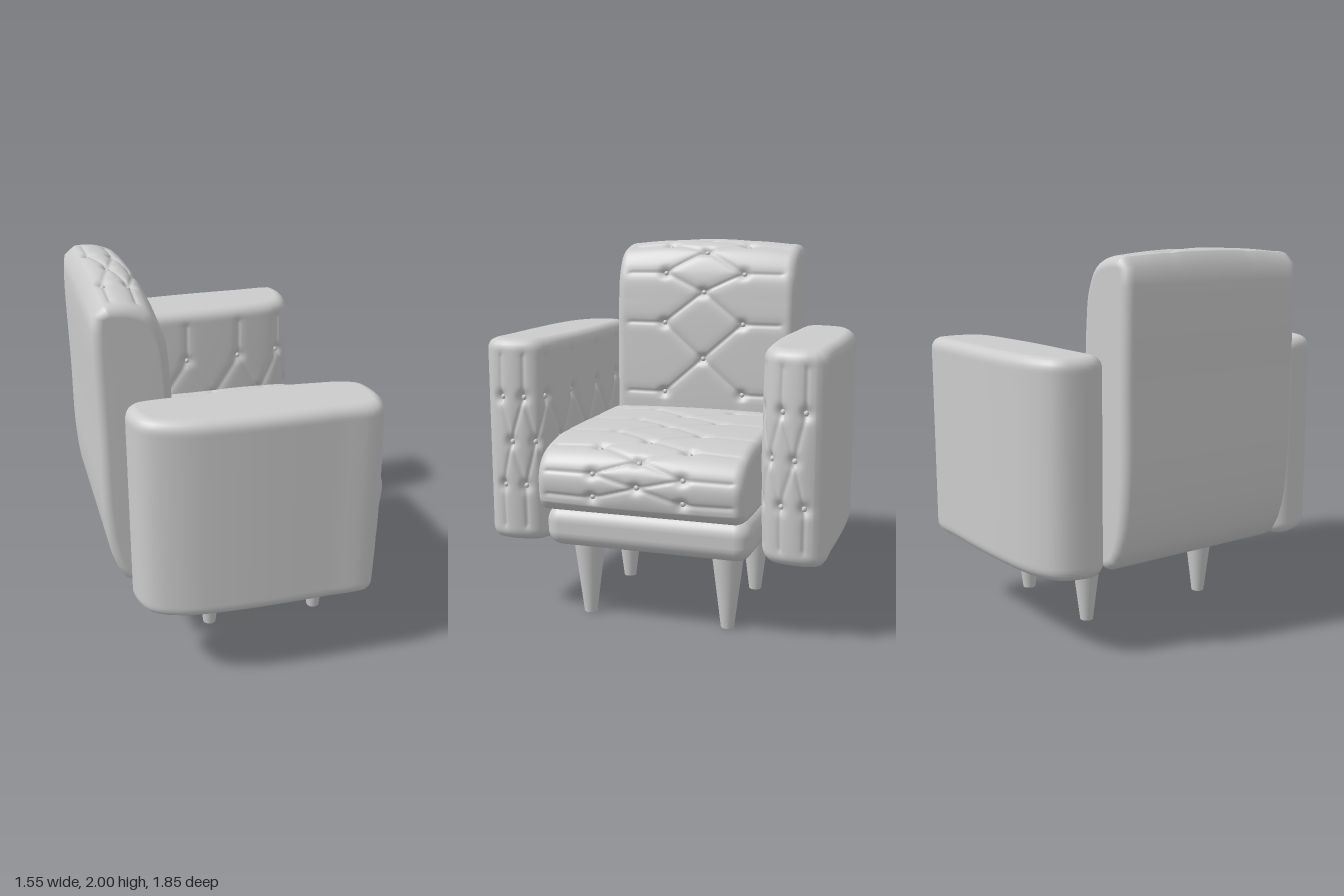
import * as THREE from 'three';
import { mergeGeometries } from 'three/addons/utils/BufferGeometryUtils.js';
import { RoundedBoxGeometry } from 'three/addons/geometries/RoundedBoxGeometry.js';

const material = new THREE.MeshStandardMaterial({ color: 0xcccccc, roughness: 0.8 });

// Distance from point (px, py) to the segment a-b
function segmentDistance(px, py, [ax, ay], [bx, by]) {
  const dx = bx - ax, dy = by - ay;
  const t = Math.min(1, Math.max(0, ((px - ax) * dx + (py - ay) * dy) / (dx * dx + dy * dy)));
  return Math.hypot(px - ax - t * dx, py - ay - t * dy);
}

// Tufted cushion: a closed profile swept along w, with rounded ends.
// tufts run along the profile, alternately at w = +-spread and at w = 0.
function cushion({ profile, tufts, half, radius, spread, reach, bulge, dir }) {
  const curve = new THREE.CatmullRomCurve3(
    profile.map(([u, v]) => new THREE.Vector3(u, v, 0)), true, 'centripetal');
  curve.arcLengthDivisions = 800;
  const length = curve.getLength();
  const area = profile.reduce((sum, [u, v], i) => {
    const [u2, v2] = profile[(i + 1) % profile.length];
    return sum + u * v2 - u2 * v;
  }, 0);
  const sign = Math.sign(area);

  // Place each tuft at its nearest arc position
  const scan = curve.getSpacedPoints(600);
  const arc = tufts.map(([u, v]) => {
    let best = 0, min = Infinity;
    scan.forEach((p, i) => {
      const d = Math.hypot(p.x - u, p.y - v);
      if (d < min) { min = d; best = i; }
    });
    return best / 600 * length;
  });

  // Buttons and the creases between them, in (arc, w) coordinates
  const buttons = [], creases = [];
  arc.forEach((s, k) => {
    const even = k % 2 === 0;
    for (const m of [-1, 1]) {
      if (even) {
        buttons.push([s, m * spread]);
        creases.push([[s, m * spread], [s, m * reach]]);
      } else if (m > 0) buttons.push([s, 0]);
      if (k + 1 < arc.length) {
        creases.push([[s, even ? m * spread : 0], [arc[k + 1], even ? 0 : m * spread]]);
      }
    }
  });
  const depth = (s, w) => {
    let crease = 0, dimple = 0;
    for (const [a, b] of creases) {
      const d = segmentDistance(s, w, a, b);
      crease = Math.max(crease, 0.005 * Math.exp(-((d / 0.03) ** 2)) + 0.007 * Math.exp(-((d / 0.009) ** 2)));
    }
    for (const [a, b] of buttons) {
      dimple = Math.max(dimple, 0.024 * Math.exp(-(((s - a) ** 2 + (w - b) ** 2) / 0.0009)));
    }
    return crease + dimple;
  };

  const place = (s, w, inset, extra = 0) => {
    const t = Math.min(0.99999, s / length);
    const p = curve.getPointAt(t), g = curve.getTangentAt(t);
    const nu = sign * g.y, nv = -sign * g.x;
    const crown = bulge * (w / half) ** 2 * Math.max(0, nu * dir[0] + nv * dir[1]);
    const off = extra - inset - crown - depth(s, w);
    return [p.x + nu * off, p.y + nv * off, w];
  };

  // Arc samples: dense over the tufted stretch, sparse elsewhere
  const start = arc[0] - 0.05, end = arc[arc.length - 1] + 0.05;
  const stops = [];
  const addRange = (a, b, n) => { for (let i = 0; i < n; i++) stops.push(a + (b - a) * i / n); };
  addRange(0, start, 20);
  addRange(start, end, 148);
  addRange(end, length, 22);

  // Rows across the width: quarter-round, middle, quarter-round
  const rows = [], M = 72, Q = 6;
  const rounding = Array.from({ length: Q }, (_, i) => {
    const a = i / Q * Math.PI / 2;
    return [half - radius + radius * Math.cos(a), radius * (1 - Math.sin(a))];
  });
  rounding.forEach(([w, inset]) => rows.push([-w, inset]));
  for (let j = 0; j <= M; j++) rows.push([(half - radius) * (2 * j / M - 1), 0]);
  rounding.reverse().forEach(([w, inset]) => rows.push([w, inset]));

  const pos = [], index = [], N = stops.length;
  rows.forEach(([w, inset]) => stops.forEach(s => pos.push(...place(s, w, inset))));
  const tri = (a, b, c) => (sign > 0 ? index.push(a, b, c) : index.push(a, c, b));
  for (let j = 0; j < rows.length - 1; j++) {
    for (let i = 0; i < N; i++) {
      const a = j * N + i, b = j * N + (i + 1) % N;
      tri(a, b, b + N);
      tri(a, b + N, a + N);
    }
  }
  // End caps
  const mid = new THREE.Box2().setFromPoints(profile.map(p => new THREE.Vector2(...p))).getCenter(new THREE.Vector2());
  const low = pos.length / 3, last = (rows.length - 1) * N;
  pos.push(mid.x, mid.y, -half, mid.x, mid.y, half);
  for (let i = 0; i < N; i++) {
    const n = (i + 1) % N;
    tri(low, n, i);
    tri(low + 1, last + i, last + n);
  }
  const body = new THREE.BufferGeometry();
  body.setAttribute('position', new THREE.Float32BufferAttribute(pos, 3));
  body.setIndex(index);
  body.computeVertexNormals();

  const knobs = mergeGeometries(buttons.map(([s, w]) =>
    new THREE.SphereGeometry(0.015, 8, 6).translate(...place(s, w, 0, 0.006))));
  return { body, knobs };
}

export function createModel() {
  const group = new THREE.Group();
  const add = (geometry, name, parent = group) => {
    const mesh = new THREE.Mesh(geometry, material);
    mesh.name = name;
    parent.add(mesh);
    return mesh;
  };
  const addCushion = (name, options) => {
    const part = new THREE.Group();
    part.name = name;
    const { body, knobs } = cushion(options);
    add(body, name + 'Cushion', part);
    add(knobs, name + 'Buttons', part);
    group.add(part);
    return part;
  };

  // Seat: tufted over the top and down the front
  addCushion('seat', {
    profile: [[-0.4, 0.64], [-0.5, 0.8], [-0.47, 0.98], [-0.35, 1.02], [0, 1.025], [0.3, 1.025], [0.55, 1.01],
      [0.7, 0.96], [0.76, 0.89], [0.775, 0.8], [0.745, 0.67], [0.66, 0.64], [0.2, 0.635]],
    tufts: [[-0.24, 1.02], [-0.08, 1.02], [0.06, 1.02], [0.22, 1.02], [0.39, 1.02], [0.54, 1.01],
      [0.63, 0.985], [0.72, 0.94], [0.765, 0.87], [0.775, 0.81], [0.765, 0.74]],
    half: 0.55, radius: 0.05, spread: 0.24, reach: 0.49, bulge: 0.025, dir: [0.8, 0.6],
  });

  // Backrest: tufted over the top and down the front
  addCushion('backrest', {
    profile: [[-0.6, 0.42], [-0.67, 0.46], [-0.735, 0.6], [-0.77, 0.85], [-0.775, 1.3], [-0.775, 1.9], [-0.755, 1.965],
      [-0.7, 2], [-0.58, 1.995], [-0.49, 1.95], [-0.425, 1.83], [-0.4, 1.65], [-0.39, 1.4], [-0.39, 1],
      [-0.42, 0.55], [-0.48, 0.44]],
    tufts: [[-0.68, 2], [-0.61, 2], [-0.54, 1.98], [-0.48, 1.94], [-0.42, 1.81], [-0.4, 1.7],
      [-0.39, 1.52], [-0.39, 1.31], [-0.39, 1.1]],
    half: 0.545, radius: 0.05, spread: 0.24, reach: 0.46, bulge: 0.035, dir: [0.3, 0.95],
  });

  // Arms: plan profile swept upright, tufted on the inner and front faces
  const armProfile = [[-0.2, 0.918], [-0.45, 0.89], [-0.6, 0.82], [-0.65, 0.72], [-0.655, 0.62], [-0.6, 0.56],
    [-0.3, 0.54], [0, 0.535], [0.3, 0.55], [0.48, 0.575], [0.56, 0.62], [0.595, 0.71], [0.597, 0.82],
    [0.55, 0.905], [0.3, 0.92]];
  const armTufts = [[-0.4, 0.54], [-0.24, 0.54], [-0.08, 0.54], [0.08, 0.54], [0.24, 0.55], [0.38, 0.56],
    [0.5, 0.58], [0.565, 0.63], [0.59, 0.69], [0.6, 0.76], [0.597, 0.82]];
  for (const [name, m] of [['leftArm', -1], ['rightArm', 1]]) {
    const flip = ([u, v]) => [u, m * v];
    const arm = addCushion(name, {
      profile: armProfile.map(flip), tufts: armTufts.map(flip),
      half: 0.55, radius: 0.06, spread: 0.24, reach: 0.46, bulge: 0.02, dir: [0.9, -0.4 * m],
    });
    arm.rotation.x = Math.PI / 2;
    arm.position.y = 0.96;
  }

  // Base under the seat
  add(new RoundedBoxGeometry(1.2, 0.22, 1.12, 8, 0.085), 'base').position.set(0.055, 0.532, 0);

  // Tapered legs
  for (const [x, end] of [[0.43, 'front'], [-0.19, 'back']]) {
    for (const [z, side] of [[-0.39, 'Left'], [0.39, 'Right']]) {
      add(new THREE.CylinderGeometry(0.09, 0.035, 0.44, 24), end + side + 'Leg').position.set(x, 0.22, z);
    }
  }
  return group;
}
